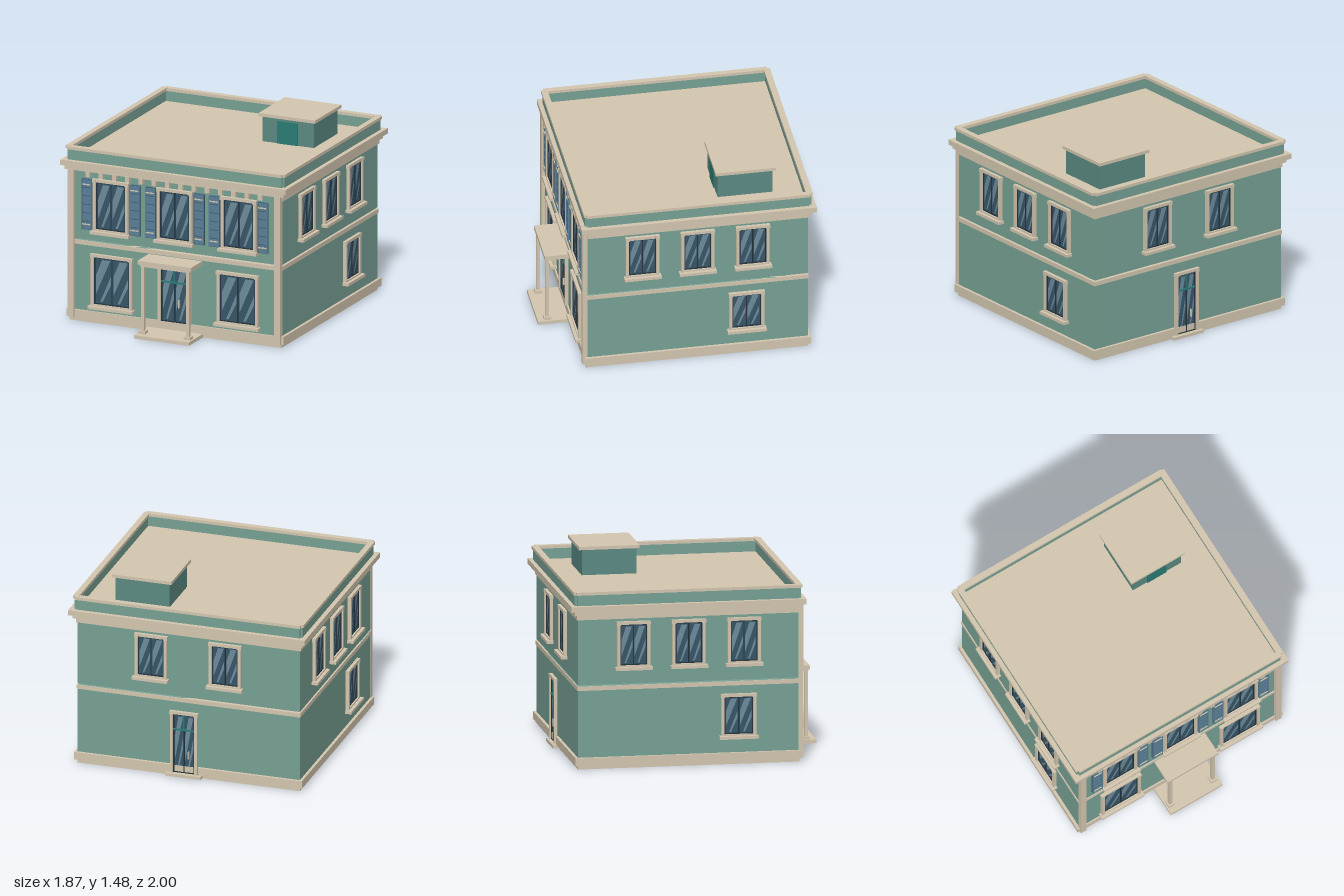
import * as THREE from 'three';

const mat = (c) => new THREE.MeshStandardMaterial({ color: c });
const M = {
  wall: mat(0x78a295), trim: mat(0xd4c7b0), hut: mat(0x5b8a82), door: mat(0x2a7d74),
  glass: mat(0x385668), shine: mat(0x6d8c9c), sash: mat(0x24343f), shutter: mat(0x5c8098), slat: mat(0x41627a),
};

// Box given by its extents
function box(parent, name, m, x0, x1, y0, y1, z0, z1) {
  const mesh = new THREE.Mesh(new THREE.BoxGeometry(x1 - x0, y1 - y0, z1 - z0), m);
  mesh.position.set((x0 + x1) / 2, (y0 + y1) / 2, (z0 + z1) / 2);
  mesh.name = name;
  parent.add(mesh);
  return mesh;
}

function group(parent, name, x = 0, y = 0, z = 0, turn = 0) {
  const g = new THREE.Group();
  g.name = name;
  g.position.set(x, y, z);
  g.rotation.y = turn;
  parent.add(g);
  return g;
}

// Diagonal light streaks on a pane
function streaks(parent, x0, y0, w, h, z) {
  const sets = [
    [[0.42, 0.97], [0.92, 0.97], [0.05, 0.2], [0.05, 0.62]],
    [[0.95, 0.62], [0.95, 0.42], [0.45, 0.03], [0.3, 0.03]],
  ];
  for (const pts of sets) {
    const shape = new THREE.Shape(pts.map(([u, v]) => new THREE.Vector2(x0 + u * w, y0 + v * h)));
    const mesh = new THREE.Mesh(new THREE.ShapeGeometry(shape), M.shine);
    mesh.position.z = z;
    mesh.name = 'reflection';
    parent.add(mesh);
  }
}

// Two panes with dark sashes, w by h from the local origin upwards
function glazing(g, w, h) {
  const t = 0.008, a = w / 2;
  box(g, 'glass', M.glass, -a, a, 0, h, -0.01, 0.006);
  for (const x of [-a + t / 2, 0, a - t / 2]) box(g, 'sashStile', M.sash, x - t / 2, x + t / 2, 0, h, 0, 0.013);
  for (const y of [0, h - t]) box(g, 'sashRail', M.sash, -a, a, y, y + t, 0, 0.012);
  for (const x of [-a + t, t / 2]) streaks(g, x, t, a - 1.5 * t, h - 2 * t, 0.0075);
}

// Raised surround with eared head
function surround(g, w, h) {
  const a = w / 2, f = 0.023;
  for (const s of [-1, 1]) {
    const x = s * (a + f / 2);
    box(g, 'jamb', M.trim, x - f / 2, x + f / 2, 0, h, 0, 0.025);
    box(g, 'ear', M.trim, x - f / 2 - 0.004, x + f / 2 + 0.004, h - 0.005, h + f, 0, 0.028);
  }
  box(g, 'head', M.trim, -a - f, a + f, h, h + f, 0, 0.025);
}

function addWindow(parent, x, y, z, turn, w, h) {
  const g = group(parent, 'window', x, y, z, turn);
  glazing(g, w, h);
  surround(g, w, h);
  box(g, 'sillBed', M.trim, -w / 2 - 0.023, w / 2 + 0.023, -0.015, 0, 0, 0.025);
  box(g, 'sill', M.trim, -w / 2 - 0.038, w / 2 + 0.038, -0.035, -0.012, 0, 0.05);
  return g;
}

function addDoor(parent, x, y, z, turn, w, h, bar) {
  const g = group(parent, 'door', x, y, z, turn);
  glazing(g, w, h);
  surround(g, w, h);
  box(g, 'transom', M.door, -w / 2, w / 2, bar - 0.006, bar + 0.006, 0, 0.018);
  box(g, 'fanlightBar', M.door, -0.006, 0.006, bar, h, 0, 0.018);
  box(g, 'handle', M.trim, 0.033, 0.041, 0.12, 0.18, 0.01, 0.025);
}

function addShutter(parent, x, y, z, h) {
  const g = group(parent, 'shutter', x, y, z), a = 0.043;
  box(g, 'shutterPanel', M.slat, -a, a, 0, h, 0, 0.014);
  for (const s of [-1, 1]) {
    const c = s * (a - 0.005);
    box(g, 'shutterStile', M.shutter, c - 0.005, c + 0.005, 0, h, 0, 0.024);
  }
  for (let i = 0; i < 6; i++) {
    const y0 = 0.005 + i * h / 6;
    box(g, 'louvre', M.shutter, -a + 0.008, a - 0.008, y0, y0 + h / 6 - 0.01, 0, 0.02);
  }
  for (const yy of [0.04, h - 0.045]) box(g, 'strap', M.trim, -a + 0.008, a - 0.008, yy, yy + 0.008, 0, 0.026);
}

export function createModel() {
  const root = new THREE.Group();
  root.name = 'house';
  const X = 0.878, F = 0.752, B = -0.937, PI = Math.PI;

  // Storeys, with a narrow open joint between them
  box(root, 'foundation', M.trim, -X, X, 0, 0.03, B, F);
  box(root, 'lowerWalls', M.wall, -X, X, 0.03, 0.635, B, F);
  box(root, 'upperWalls', M.wall, -X, X, 0.645, 1.2, B, F);

  // Horizontal trim
  box(root, 'baseBand', M.trim, -X - 0.022, X + 0.022, 0.03, 0.09, B - 0.022, F + 0.012);
  box(root, 'middleBand', M.trim, -X - 0.006, X + 0.006, 0.602, 0.635, B - 0.006, F + 0.008);
  box(root, 'frieze', M.trim, -X - 0.01, X + 0.01, 1.144, 1.2, B - 0.01, F - 0.01);
  box(root, 'lowerCornice', M.trim, -0.908, 0.908, 1.182, 1.214, -0.966, 0.778);
  box(root, 'upperCornice', M.trim, -0.935, 0.935, 1.214, 1.255, -0.996, 0.796);

  // Front corner pilasters and brackets
  for (const s of [-1, 1]) {
    box(root, 'pilaster', M.trim, s * 0.857 - 0.025, s * 0.857 + 0.025, 0.03, 1.19, F - 0.01, 0.78);
  }
  for (let i = 0; i < 14; i++) {
    const x = (i - 6.5) * 0.11;
    box(root, 'bracket', M.trim, x - 0.017, x + 0.017, 1.142, 1.19, F, 0.785);
  }

  // Parapet panels with coping, stepped in at the corners
  for (const s of [-1, 1]) {
    const side = group(root, 'sideParapet', s * 0.888);
    box(side, 'parapetPanel', M.wall, -0.012, 0.012, 1.25, 1.34, -0.945, 0.745);
    box(side, 'coping', M.trim, -0.023, 0.022, 1.337, 1.36, -0.95, 0.755);
    const end = group(root, 'endParapet', 0, 0, s > 0 ? 0.748 : -0.948);
    box(end, 'parapetPanel', M.wall, -0.885, 0.885, 1.25, 1.34, -0.015, 0.015);
    box(end, 'coping', M.trim, -0.89, 0.89, 1.336, 1.359, -0.024, 0.024);
  }

  // Roof hut
  const hut = group(root, 'roofHut');
  box(hut, 'hutWalls', M.hut, 0.23, 0.655, 1.25, 1.455, -0.708, -0.29);
  box(hut, 'hutRoof', M.trim, 0.205, 0.675, 1.452, 1.477, -0.733, -0.272);
  box(hut, 'hutDoor', M.door, 0.355, 0.522, 1.255, 1.43, -0.3, -0.282);

  // Front windows, shutters and door
  for (const x of [-0.53, 0, 0.53]) {
    addWindow(root, x, 0.74, F, 0, 0.246, 0.368);
    for (const s of [-1, 1]) addShutter(root, x + s * 0.2, 0.725, F, 0.397);
  }
  for (const x of [-0.522, 0.522]) addWindow(root, x, 0.152, F, 0, 0.296, 0.368);
  addDoor(root, 0, 0.09, F, 0, 0.226, 0.432, 0.312);

  // Side windows: the two sides match under a half turn
  for (const s of [-1, 1]) {
    for (const z of [0.326, -0.094, -0.516]) addWindow(root, s * X, 0.788, z, s * PI / 2, 0.206, 0.312);
    addWindow(root, s * X, 0.232, s > 0 ? -0.468 : 0.286, s * PI / 2, 0.22, 0.285);
  }

  // Back windows and door
  for (const x of [-0.29, 0.295]) addWindow(root, x, 0.788, B, PI, 0.206, 0.312);
  addDoor(root, 0.03, 0.035, B - 0.012, PI, 0.17, 0.475, 0.35);
  box(root, 'backStep', M.trim, -0.11, 0.17, 0.008, 0.032, -0.99, B);

  // Porch
  const porch = group(root, 'porch');
  box(porch, 'frontStep', M.trim, -0.228, 0.228, 0, 0.027, F - 0.01, 1);
  box(porch, 'canopy', M.trim, -0.222, 0.222, 0.566, 0.596, F - 0.01, 0.948);
  box(porch, 'canopyBed', M.trim, -0.205, 0.205, 0.55, 0.567, F - 0.01, 0.94);
  for (const s of [-1, 1]) {
    const x = s * 0.187;
    box(porch, 'column', M.trim, x - 0.013, x + 0.013, 0.04, 0.555, 0.911, 0.937);
    box(porch, 'columnBase', M.trim, x - 0.027, x + 0.027, 0.027, 0.05, 0.897, 0.951);
  }
  return root;
}
